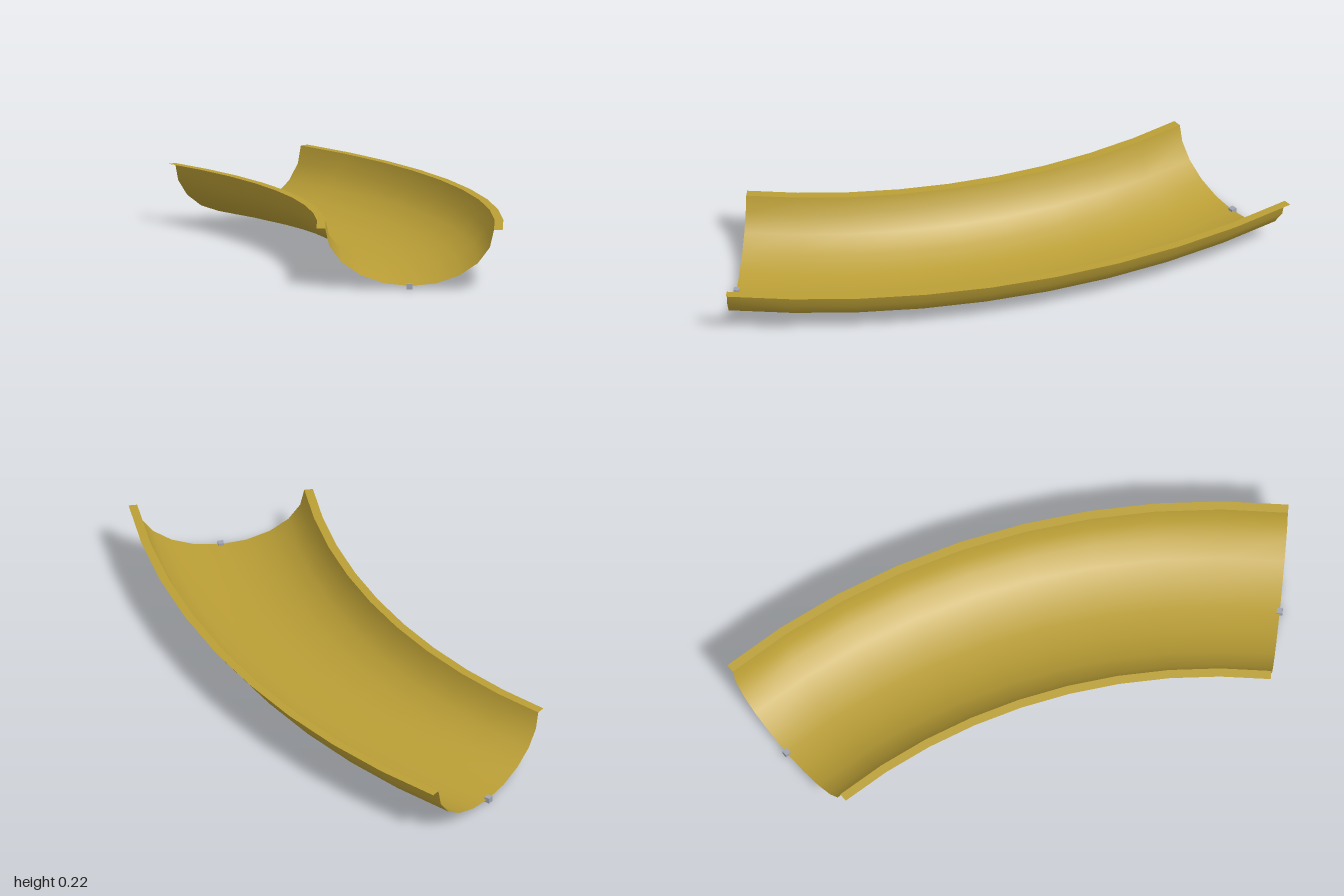
import * as THREE from 'three';

const RADIUS = 2.47, CENTRE_X = -2.16, CENTRE_Z = 0.99;
const SWEEP = Math.PI / 4, STEPS = 9;
const HALF_WIDTH = 0.31, DEPTH = 0.211, RIM_Y = 0.224, LIP = 0.032;

// Point on the bend: offset across the channel, height, angle along the bend
function onBend(offset, y, angle) {
  const r = RADIUS + offset;
  return [CENTRE_X + r * Math.cos(angle), y, CENTRE_Z - r * Math.sin(angle)];
}

// Sweep an open [offset, y] profile (listed inside to outside) around the bend
function sweepProfile(profile) {
  const positions = [], index = [], n = profile.length;
  for (let i = 0; i <= STEPS; i++) {
    for (const [offset, y] of profile) positions.push(...onBend(offset, y, SWEEP * i / STEPS));
  }
  for (let i = 0; i < STEPS; i++) {
    for (let j = 0; j < n - 1; j++) {
      const a = i * n + j, b = a + 1, c = a + n, d = c + 1;
      index.push(a, b, c, b, d, c);
    }
  }
  const geometry = new THREE.BufferGeometry();
  geometry.setAttribute('position', new THREE.Float32BufferAttribute(positions, 3));
  geometry.setIndex(index);
  geometry.computeVertexNormals();
  return geometry;
}

export function createModel() {
  const group = new THREE.Group();
  group.name = 'curvedTrough';
  const brass = new THREE.MeshStandardMaterial({ color: 0xbb9f36, side: THREE.DoubleSide });
  brass.name = 'brass';
  const grey = new THREE.MeshStandardMaterial({ color: 0xa0a4b0 });
  grey.name = 'grey';

  const add = (name, geometry, material) => {
    const mesh = new THREE.Mesh(geometry, material);
    mesh.name = name;
    group.add(mesh);
    return mesh;
  };

  // Half-elliptical channel
  const bowl = [];
  for (let i = 0; i <= 10; i++) {
    const a = Math.PI * i / 10;
    bowl.push([-HALF_WIDTH * Math.cos(a), RIM_Y - DEPTH * Math.sin(a)]);
  }
  add('channel', sweepProfile(bowl), brass);

  // Flat lips along both rims
  add('innerLip', sweepProfile([[-HALF_WIDTH - LIP, RIM_Y], [-HALF_WIDTH, RIM_Y]]), brass);
  add('outerLip', sweepProfile([[HALF_WIDTH, RIM_Y], [HALF_WIDTH + LIP, RIM_Y]]), brass);

  // Small connector cubes at the bottom of each end
  [['frontConnector', 0], ['backConnector', SWEEP]].forEach(([name, angle]) => {
    const cube = add(name, new THREE.BoxGeometry(0.021, 0.021, 0.021), grey);
    cube.position.set(...onBend(0, 0.0125, angle));
    cube.rotation.y = angle;
  });

  return group;
}
